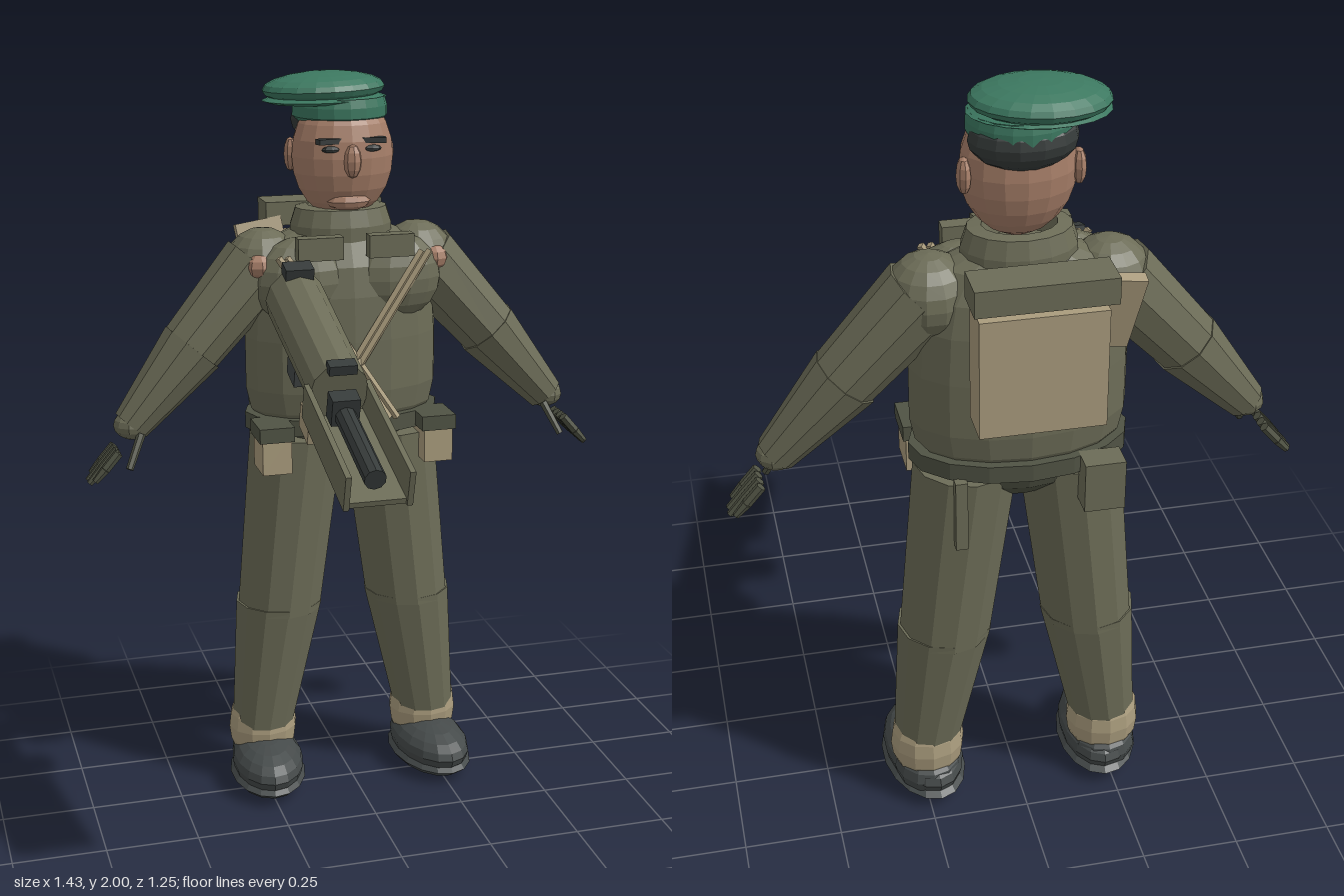
import * as THREE from 'three';

const mat = (name, color) => Object.assign(new THREE.MeshStandardMaterial({ color }), { name });
const M = {
  olive: mat('olive cloth', 0x6c6c57),
  darkOlive: mat('dark olive', 0x505344),
  beige: mat('beige canvas', 0xaa9c7d),
  skin: mat('skin', 0xa67e68),
  green: mat('cap green', 0x3c7860),
  dark: mat('boot grey', 0x454a4a),
  black: mat('charcoal', 0x363b3a),
};

// Faceted mesh with optional rotation and scale
function add(parent, name, geo, material, pos = [0, 0, 0], rot = [0, 0, 0], scale = [1, 1, 1]) {
  const g = geo.index ? geo.toNonIndexed() : geo;
  g.computeVertexNormals();
  const mesh = new THREE.Mesh(g, material);
  mesh.name = name;
  mesh.position.set(...pos);
  mesh.rotation.set(...rot);
  mesh.scale.set(...scale);
  parent.add(mesh);
  return mesh;
}
const box = (p, name, m, size, pos, rot) => add(p, name, new THREE.BoxGeometry(...size), m, pos, rot);
const ball = (p, name, m, radii, pos, rot, w = 14, h = 10) =>
  add(p, name, new THREE.SphereGeometry(1, w, h), m, pos, rot, radii);

// Tapered tube between two points
function limb(p, name, m, a, b, ra, rb, sides = 10) {
  const A = new THREE.Vector3(...a), B = new THREE.Vector3(...b);
  const mesh = add(p, name, new THREE.CylinderGeometry(rb, ra, A.distanceTo(B), sides), m);
  mesh.position.copy(A).lerp(B, 0.5);
  mesh.quaternion.setFromUnitVectors(new THREE.Vector3(0, 1, 0), B.sub(A).normalize());
  return mesh;
}

// Lathe squashed front to back
function lathe(p, name, m, profile, pos, depth, sides = 16) {
  const pts = profile.map(([r, y]) => new THREE.Vector2(r, y));
  return add(p, name, new THREE.LatheGeometry(pts, sides), m, pos, [0, 0, 0], [1, 1, depth]);
}

function buildHead(root) {
  const head = new THREE.Group();
  head.name = 'head';
  ball(head, 'face', M.skin, [0.138, 0.17, 0.11], [0, 1.785, -0.325], [0, 0, 0], 16, 12);
  ball(head, 'hair', M.black, [0.128, 0.075, 0.095], [0, 1.875, -0.375]);
  ball(head, 'nose', M.skin, [0.025, 0.045, 0.025], [0, 1.78, -0.222], [0, 0, 0], 8, 6);
  ball(head, 'mouth', M.skin, [0.06, 0.025, 0.035], [0, 1.67, -0.262], [0, 0, 0], 10, 6);
  for (const s of [-1, 1]) {
    ball(head, 'ear', M.skin, [0.018, 0.045, 0.03], [s * 0.133, 1.785, -0.36], [0, 0, 0], 8, 6);
    box(head, 'eyebrow', M.black, [0.075, 0.014, 0.025], [s * 0.055, 1.832, -0.233], [0, -s * 0.2, 0]);
    ball(head, 'eye', M.black, [0.026, 0.009, 0.012], [s * 0.055, 1.811, -0.229], [0, 0, 0], 8, 6);
  }
  // Beret
  lathe(head, 'capBand', M.green, [[0.118, 1.875], [0.126, 1.885], [0.126, 1.912], [0.12, 1.935]], [0, 0, -0.35], 0.92, 18);
  ball(head, 'capRim', M.green, [0.168, 0.016, 0.12], [-0.04, 1.929, -0.355], [0, 0, 0.02], 20, 6);
  ball(head, 'capCrown', M.green, [0.165, 0.043, 0.125], [-0.041, 1.956, -0.36], [0, 0, 0.03], 20, 10);
  root.add(head);
}

function buildTorso(root) {
  const torso = new THREE.Group();
  torso.name = 'torso';
  lathe(torso, 'jacket', M.olive, [[0.23, 1.07], [0.255, 1.1], [0.268, 1.16], [0.268, 1.3], [0.26, 1.42],
    [0.24, 1.5], [0.19, 1.565], [0.11, 1.6], [0, 1.61]], [0, 0, -0.35], 0.57);
  lathe(torso, 'jacketHem', M.darkOlive, [[0, 0.94], [0.1, 0.95], [0.17, 1.0], [0.2, 1.06]], [0, 0, -0.345], 0.75);
  lathe(torso, 'collar', M.olive, [[0.14, 1.56], [0.14, 1.6], [0.125, 1.645], [0.09, 1.65], [0.08, 1.6]], [0, 0, -0.345], 0.75);
  lathe(torso, 'belt', M.darkOlive, [[0.22, 1.045], [0.272, 1.045], [0.272, 1.09], [0.22, 1.09]], [0, 0, -0.35], 0.6);
  box(torso, 'buckle', M.darkOlive, [0.05, 0.04, 0.02], [0, 1.075, -0.185]);
  for (const s of [-1, 1]) {
    ball(torso, 'chest', M.olive, [0.135, 0.12, 0.08], [s * 0.125, 1.46, -0.275]);
    box(torso, 'collarPouch', M.olive, [0.122, 0.06, 0.04], [s * 0.096, 1.56, -0.2]);
    // Belt pouches
    box(torso, 'frontPouch', M.beige, [0.08, 0.11, 0.11], [s * 0.225, 1.015, -0.222]);
    box(torso, 'pouchLid', M.darkOlive, [0.095, 0.04, 0.12], [s * 0.225, 1.07, -0.222]);
    // Crossed chest straps, each a pair of webs
    for (const d of [-0.011, 0.011])
      limb(torso, 'chestStrap', M.beige, [s * (0.195 + d), 1.54, -0.2], [-s * (0.1 - d), 1.09, -0.182], 0.01, 0.01, 4);
  }
  box(torso, 'backPouch', M.olive, [0.1, 0.13, 0.07], [-0.17, 1.025, -0.51]);
  box(torso, 'scabbard', M.olive, [0.03, 0.19, 0.025], [0.17, 0.955, -0.485]);
  root.add(torso);
}

function buildPack(root) {
  const pack = new THREE.Group();
  pack.name = 'backpack';
  box(pack, 'packBody', M.beige, [0.3, 0.3, 0.105], [0, 1.39, -0.552]);
  box(pack, 'bedroll', M.olive, [0.33, 0.065, 0.105], [0, 1.597, -0.573]);
  box(pack, 'sidePouch', M.beige, [0.13, 0.2, 0.03], [-0.175, 1.485, -0.505], [-0.25, 0, 0.15]);
  root.add(pack);
}

function buildArm(root, s) {
  const arm = new THREE.Group();
  arm.name = s > 0 ? 'leftArm' : 'rightArm';
  ball(arm, 'shoulder', M.olive, [0.105, 0.105, 0.105], [s * 0.215, 1.49, -0.35]);
  ball(arm, 'shoulderOpening', M.skin, [0.04, 0.035, 0.04], [s * 0.24, 1.505, -0.275], [0, 0, 0], 8, 6);
  limb(arm, 'upperArm', M.olive, [s * 0.23, 1.495, -0.35], [s * 0.43, 1.27, -0.335], 0.1, 0.085);
  limb(arm, 'forearm', M.olive, [s * 0.415, 1.285, -0.336], [s * 0.59, 1.085, -0.322], 0.09, 0.052);
  ball(arm, 'cuff', M.olive, [0.05, 0.04, 0.052], [s * 0.588, 1.087, -0.322], [0, 0, 0], 10, 8);
  // Gloved hand
  limb(arm, 'thumb', M.darkOlive, [s * 0.57, 1.07, -0.28], [s * 0.61, 0.985, -0.245], 0.012, 0.01, 6);
  for (let i = 0; i < 4; i++) {
    const z = -0.282 - i * 0.027, end = i % 3 ? 0 : 0.012;
    limb(arm, 'finger', M.darkOlive, [s * 0.632, 1.022, z], [s * (0.675 - end / 2), 0.973 + end / 2, z], 0.013, 0.013, 6);
    limb(arm, 'fingertip', M.darkOlive, [s * 0.67, 0.978, z], [s * (0.71 - end), 0.935 + end, z], 0.013, 0.009, 6);
  }
  root.add(arm);
}

function buildLeg(root, s) {
  const leg = new THREE.Group();
  leg.name = s > 0 ? 'leftLeg' : 'rightLeg';
  // Slanted trouser sections, sheared so the rings stay level
  const section = (name, x0, x1, y0, y1, r0, r1, zs) => {
    const g = new THREE.CylinderGeometry(r0, r1, y0 - y1, 12);
    const p = g.attributes.position;
    for (let i = 0; i < p.count; i++) {
      const t = 0.5 - p.getY(i) / (y0 - y1);
      p.setX(i, p.getX(i) + s * (x0 + (x1 - x0) * t));
    }
    add(leg, name, g, M.olive, [0, (y0 + y1) / 2, -0.345], [0, 0, 0], [1, 1, zs]);
  };
  section('thigh', 0.13, 0.187, 1.03, 0.52, 0.132, 0.118, 1.07);
  section('shin', 0.187, 0.24, 0.54, 0.17, 0.123, 0.088, 1.03);
  ball(leg, 'sock', M.beige, [0.098, 0.125, 0.094], [s * 0.24, 0.155, -0.35], [0, 0, 0], 12, 10);
  // Boot
  ball(leg, 'boot', M.dark, [0.1, 0.066, 0.178], [s * 0.242, 0.072, -0.285], [0, s * 0.1, 0], 16, 10);
  ball(leg, 'sole', M.dark, [0.106, 0.035, 0.182], [s * 0.242, 0.037, -0.287], [0, s * 0.1, 0], 16, 6);
  ball(leg, 'bootAnkle', M.dark, [0.09, 0.07, 0.1], [s * 0.24, 0.075, -0.355], [0, 0, 0], 12, 8);
  root.add(leg);
}

function buildWeapon(root) {
  const gun = new THREE.Group();
  gun.name = 'launcher';
  gun.position.set(-0.167, 1.43, -0.18);
  gun.rotation.x = 0.29;
  // Main tube with open cradle in front
  add(gun, 'tube', new THREE.CylinderGeometry(0.074, 0.078, 0.47, 12), M.olive, [0, 0, 0.225], [Math.PI / 2, 0, 0], [1, 1, 1.1]);
  box(gun, 'cradleFloor', M.olive, [0.162, 0.014, 0.39], [0, -0.07, 0.635]);
  for (const s of [-1, 1]) box(gun, 'cradleWall', M.olive, [0.014, 0.092, 0.405], [s * 0.076, -0.031, 0.637]);
  add(gun, 'barrel', new THREE.CylinderGeometry(0.027, 0.027, 0.3, 10), M.black, [0, -0.025, 0.65], [Math.PI / 2, 0, 0]);
  box(gun, 'barrelBlock', M.black, [0.07, 0.07, 0.05], [0, -0.015, 0.505]);
  box(gun, 'frontSight', M.black, [0.07, 0.025, 0.035], [0, 0.075, 0.465]);
  box(gun, 'rearSight', M.black, [0.075, 0.03, 0.05], [0, 0.09, 0.005]);
  box(gun, 'grip', M.dark, [0.05, 0.13, 0.08], [0, -0.12, 0.09]);
  box(gun, 'magazine', M.beige, [0.1, 0.07, 0.09], [0, -0.16, 0.34]);
  root.add(gun);
}

export function createModel() {
  const root = new THREE.Group();
  root.name = 'soldier';
  buildHead(root);
  buildTorso(root);
  buildPack(root);
  for (const s of [-1, 1]) {
    buildArm(root, s);
    buildLeg(root, s);
  }
  buildWeapon(root);
  return root;
}
